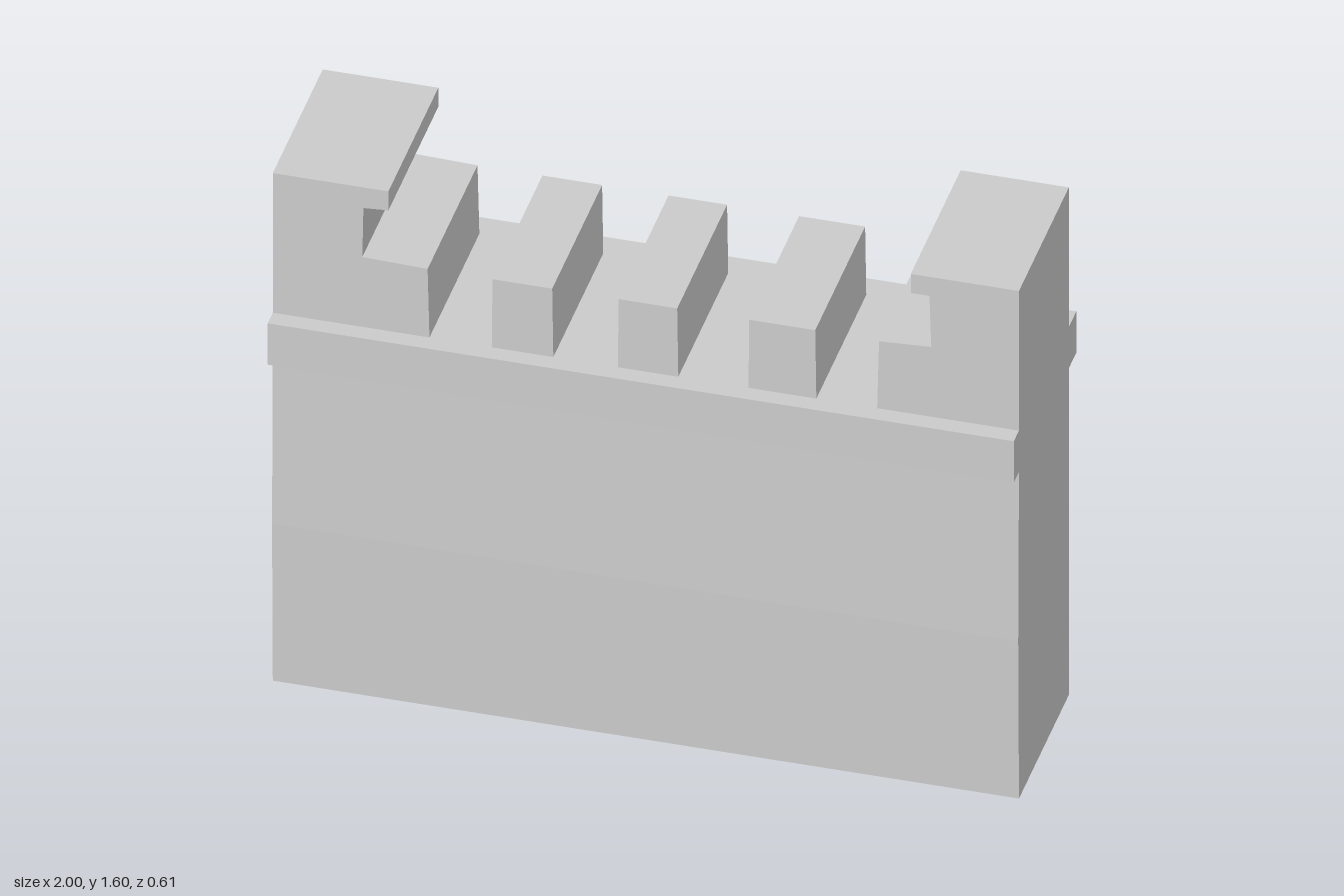
import * as THREE from 'three';

const material = new THREE.MeshStandardMaterial({ color: 0xcccccc, flatShading: true });
const BACK = -0.23, FRONT = 0.255, LEDGE_TOP = 1.16;

// Extrudes a closed outline by the given depth
function extrude(points, depth) {
  const shape = new THREE.Shape(points.map(([x, y]) => new THREE.Vector2(x, y)));
  return new THREE.ExtrudeGeometry(shape, { depth, bevelEnabled: false });
}

function addPart(group, name, geometry) {
  const mesh = new THREE.Mesh(geometry, material);
  mesh.name = name;
  group.add(mesh);
}

export function createModel() {
  const group = new THREE.Group();
  group.name = 'battlementWall';

  // Wall with its projecting ledges: [z, y] cross-section run along x
  const section = [
    [FRONT, 0], [0.262, 0.5], [FRONT, 1.03], [0.305, 1.03], [0.305, LEDGE_TOP],
    [-0.303, LEDGE_TOP], [-0.303, 1.03], [BACK, 1.03], [BACK, 0],
  ];
  const wall = extrude(section.map(([z, y]) => [-z, y]), 2);
  wall.rotateY(Math.PI / 2).translate(-1, 0, 0);
  addPart(group, 'wallWithLedges', wall);

  // Parts standing on the wall: [x, y] outlines run from back to front
  const standing = (name, outline) =>
    addPart(group, name, extrude(outline, FRONT - BACK).translate(0, 0, BACK));

  // Hooked end posts, each with a low step and an overhanging lip
  standing('rightEndPost', [
    [-1, LEDGE_TOP], [-0.58, LEDGE_TOP], [-0.585, 1.375], [-0.76, 1.38],
    [-0.757, 1.535], [-0.69, 1.54], [-0.69, 1.6], [-1, 1.6],
  ]);
  standing('leftEndPost', [
    [1, LEDGE_TOP], [1, 1.6], [0.71, 1.6], [0.71, 1.54],
    [0.76, 1.54], [0.765, 1.38], [0.625, 1.372], [0.62, LEDGE_TOP],
  ]);

  // Low merlons between the posts
  [[-0.413, -0.248], [-0.075, 0.087], [0.275, 0.457]].forEach(([a, b], i) =>
    standing(`merlon${i + 1}`, [[a, LEDGE_TOP], [b, LEDGE_TOP], [b - 0.003, 1.375], [a + 0.002, 1.375]]));

  return group;
}
